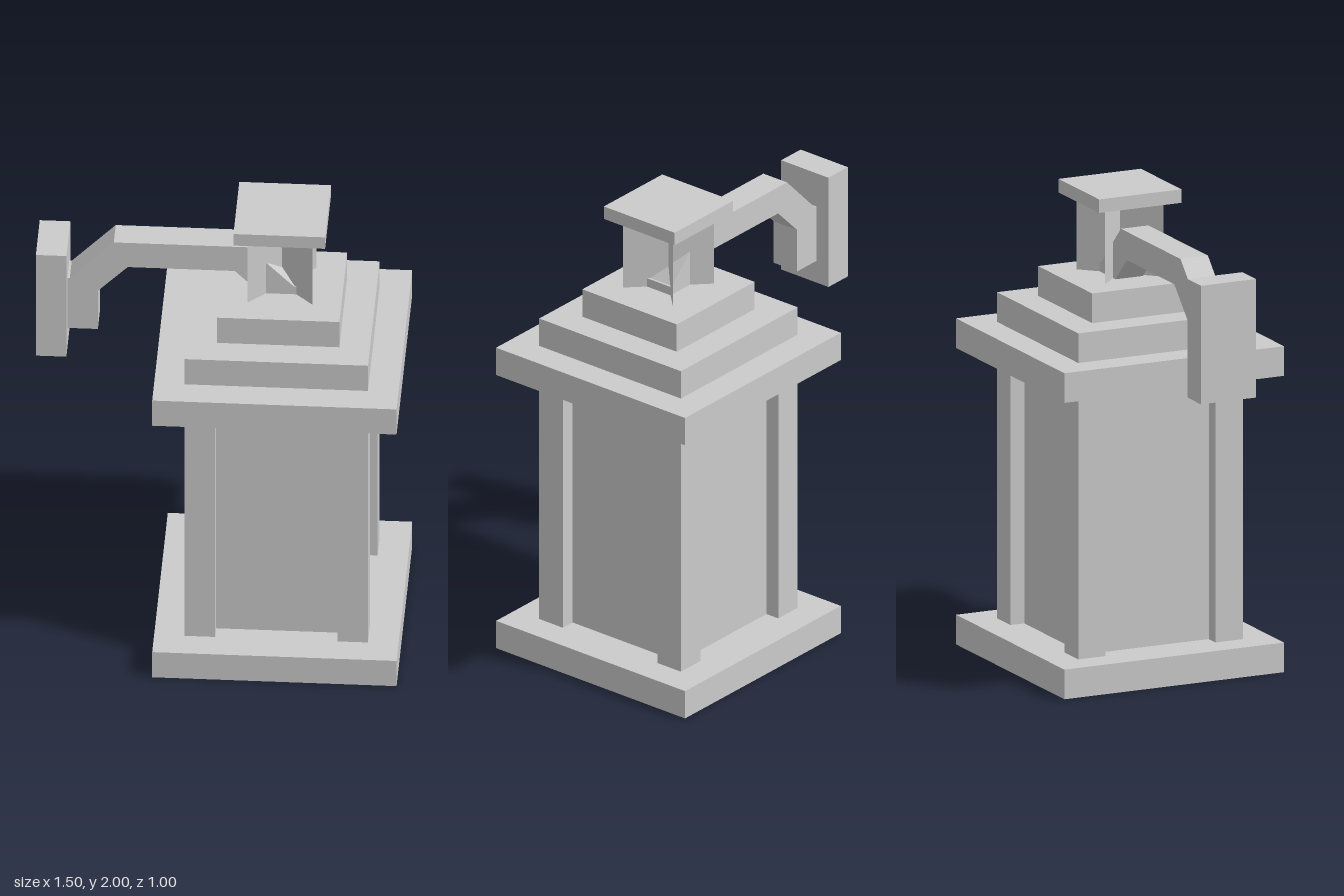
import * as THREE from 'three';

const material = new THREE.MeshStandardMaterial({ color: 0xcccccc, flatShading: true });
const sheetMaterial = new THREE.MeshStandardMaterial({
  color: 0xcccccc, flatShading: true, side: THREE.DoubleSide,
});

// Box standing on height y0, centred on x and z
function box(name, width, depth, y0, y1, x = 0, z = 0) {
  const mesh = new THREE.Mesh(new THREE.BoxGeometry(width, y1 - y0, depth), material);
  mesh.name = name;
  mesh.position.set(x, (y0 + y1) / 2, z);
  return mesh;
}

export function createModel() {
  const model = new THREE.Group();
  model.name = 'wallLantern';

  // Lantern body, offset from the wall plate
  const lantern = new THREE.Group();
  lantern.name = 'lantern';
  lantern.position.x = 0.25;
  model.add(lantern);

  lantern.add(box('base', 1, 1, 0, 0.125));
  lantern.add(box('glass', 0.625, 0.625, 0.125, 1.25));
  for (const sx of [-1, 1]) {
    for (const sz of [-1, 1]) {
      lantern.add(box('cornerPost', 0.125, 0.125, 0.125, 1.25, sx * 0.3125, sz * 0.3125));
    }
  }

  // Stepped roof
  [1, 0.75, 0.5].forEach((size, i) => {
    const y = 1.25 + i * 0.125;
    lantern.add(box('roofTier', size, size, y, y + 0.125));
  });

  // Neck of two crossed diagonal sheets under a flat cap
  for (const angle of [Math.PI / 4, -Math.PI / 4]) {
    const sheet = new THREE.Mesh(new THREE.PlaneGeometry(0.375, 0.32), sheetMaterial);
    sheet.name = 'neckSheet';
    sheet.position.y = 1.783;
    sheet.rotation.y = angle;
    lantern.add(sheet);
  }
  lantern.add(box('cap', 0.375, 0.375, 1.943, 2));

  // Bent arm from the wall plate into the roof
  const profile = [
    [-0.625, 1.417], [-0.5, 1.417], [-0.5, 1.607], [-0.378, 1.73],
    [0.06, 1.73], [0.1875, 1.603], [0.1875, 1.55], [0.3125, 1.55],
    [0.3125, 1.663], [0.302, 1.663], [0.115, 1.85],
    [-0.435, 1.85], [-0.615, 1.665], [-0.625, 1.665],
  ].map(([x, y]) => new THREE.Vector2(x, y));
  const arm = new THREE.Mesh(
    new THREE.ExtrudeGeometry(new THREE.Shape(profile), { depth: 0.125, bevelEnabled: false }),
    material,
  );
  arm.name = 'bracketArm';
  arm.position.z = -0.0625;
  model.add(arm);

  model.add(box('wallPlate', 0.125, 0.25, 1.317, 1.817, -0.6875));
  return model;
}
